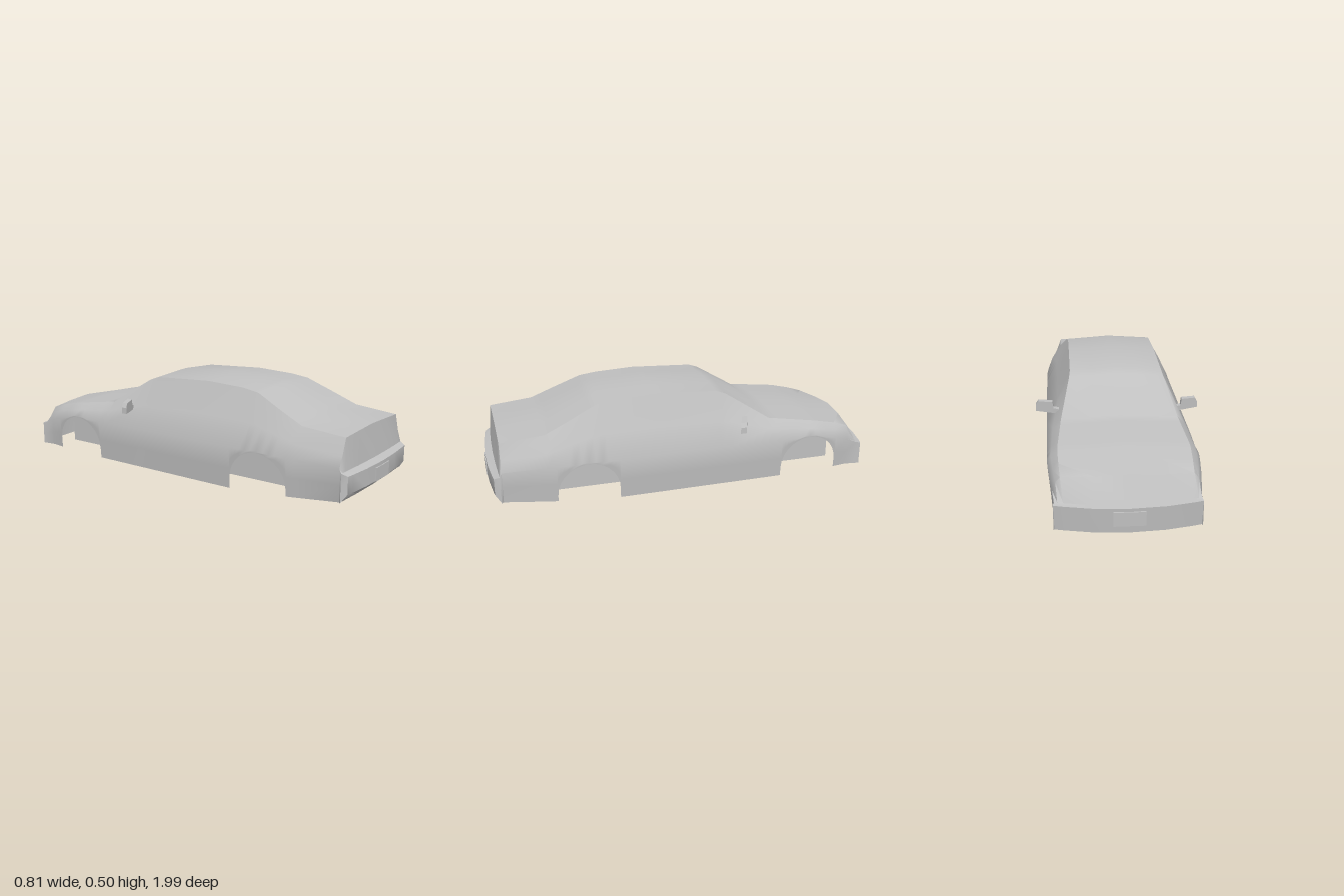
import * as THREE from 'three';
import { toCreasedNormals } from 'three/addons/utils/BufferGeometryUtils.js';

// Body stations: z, belt x, belt y, shoulder x, y, top edge x, y, centre height
const STATIONS = [
  [0.935, 0.325, 0.20, 0.300, 0.25, 0.270, 0.328, 0.338],
  [0.72, 0.348, 0.21, 0.325, 0.27, 0.275, 0.348, 0.362],
  [0.60, 0.357, 0.21, 0.315, 0.30, 0.260, 0.400, 0.415],
  [0.46, 0.357, 0.21, 0.300, 0.33, 0.235, 0.462, 0.478],
  [0.37, 0.356, 0.21, 0.298, 0.33, 0.230, 0.475, 0.488],
  [0.17, 0.355, 0.21, 0.295, 0.33, 0.230, 0.484, 0.500],
  [-0.15, 0.352, 0.21, 0.295, 0.325, 0.230, 0.468, 0.482],
  [-0.20, 0.352, 0.21, 0.295, 0.32, 0.235, 0.450, 0.465],
  [-0.42, 0.350, 0.21, 0.320, 0.27, 0.280, 0.312, 0.325],
  [-0.68, 0.347, 0.20, 0.330, 0.24, 0.300, 0.275, 0.292],
  [-0.90, 0.325, 0.16, 0.310, 0.20, 0.290, 0.225, 0.245],
];
const ARCHES = [{ z: 0.5275, r: 0.1525 }, { z: -0.63, r: 0.155 }];
const ARCH_BASE = 0.055;

function stationAt(z) {
  let i = 0;
  while (i < STATIONS.length - 2 && z < STATIONS[i + 1][0]) i++;
  const a = STATIONS[i], b = STATIONS[i + 1];
  const t = (a[0] - z) / (a[0] - b[0]);
  return a.map((v, k) => v + (b[k] - v) * t);
}

// Lower edge of the body away from the arches
function sillHeight(z) {
  if (z > 0.679) return 0.025 + (z - 0.68) * 0.075;
  return z < -0.784 ? 0.01 : 0.005;
}

// Half section from the lower edge up to the centre line
function bodySection(z, yb) {
  const [, bx, belt, sx, sy, ex, ey, top] = stationAt(z);
  const by = Math.max(belt, yb + 0.008);
  const xAt = (y) => bx - 0.014 * Math.max(0, 1 - y / by);
  const ym = (yb + by) / 2;
  const bow = z < -0.85 ? 0.04 : 0;
  return [[xAt(yb), yb], [xAt(ym), ym], [bx, by], [sx, sy], [ex, ey],
    [ex / 2, (ey + top) / 2], [0, top]].map(([x, y]) => [x, y, z + bow * (x / 0.32) ** 2]);
}

// Half section with a level top, for the bumpers
function bumperSection(z, w, yb, yt, bow) {
  return [[w, yb], [w, (yb + yt) / 2], [w, yt], [w - 0.015, yt], [w - 0.04, yt], [w / 2, yt], [0, yt]]
    .map(([x, y]) => [x, y, z + bow * (x / 0.32) ** 2]);
}

function buildBody() {
  const cuts = STATIONS.map((s) => s[0])
    .filter((z) => !ARCHES.some((a) => Math.abs(z - a.z) <= a.r + 0.002))
    .map((z) => [z, sillHeight(z)]);
  for (const a of ARCHES) {
    for (const s of [-1, 1]) {
      const z = a.z + s * (a.r + 0.0005);
      cuts.push([z, sillHeight(z)]);
    }
    for (let i = 0; i <= 14; i++) {
      const t = (Math.PI * i) / 14;
      cuts.push([a.z + a.r * Math.cos(t), ARCH_BASE + 0.153 * Math.sin(t)]);
    }
  }
  cuts.sort((p, q) => q[0] - p[0]);

  const halves = [
    bumperSection(0.95, 0.32, 0.045, 0.045, -0.01),
    bumperSection(0.993, 0.312, 0.085, 0.085, -0.022),
    bumperSection(0.993, 0.312, 0.085, 0.168, -0.022),
    bumperSection(0.955, 0.325, 0.045, 0.18, -0.01),
    ...cuts.map(([z, yb]) => bodySection(z, yb)),
    bumperSection(-0.965, 0.318, 0.01, 0.132, 0.05),
    bumperSection(-0.99, 0.322, 0.01, 0.128, 0.05),
    bumperSection(-0.98, 0.318, 0.01, 0.01, 0.05),
  ];
  // Mirror every half section into a full ring and skin the rings
  const rings = halves.map((h) => [...h, ...h.slice(0, -1).reverse().map(([x, y, z]) => [-x, y, z])]
    .map((p) => new THREE.Vector3(...p)));
  const pos = [];
  const tri = (a, b, c) => {
    const n = b.clone().sub(a).cross(c.clone().sub(a));
    if (n.length() > 1e-9) for (const p of [a, b, c]) pos.push(p.x, p.y, p.z);
  };
  for (let i = 0; i < rings.length - 1; i++) {
    const p = rings[i], q = rings[i + 1];
    for (let j = 0; j < p.length - 1; j++) {
      tri(p[j], q[j], q[j + 1]);
      tri(p[j], q[j + 1], p[j + 1]);
    }
  }
  const g = new THREE.BufferGeometry();
  g.setAttribute('position', new THREE.Float32BufferAttribute(pos, 3));
  return toCreasedNormals(g, 0.75);
}

// Swept-back door mirror with a short arm, on the +x side
function buildMirror() {
  const shape = new THREE.Shape([[0.288, 0.318], [0.288, 0.3], [0.315, 0.295], [0.404, 0.295],
    [0.403, 0.325], [0.39, 0.346], [0.32, 0.352], [0.315, 0.32]].map((p) => new THREE.Vector2(...p)));
  const g = new THREE.ExtrudeGeometry(shape, { depth: 0.03, bevelEnabled: false });
  const p = g.attributes.position;
  for (let i = 0; i < p.count; i++) {
    p.setZ(i, p.getZ(i) - 0.275 + (p.getX(i) - 0.35) * 0.42);
  }
  g.computeVertexNormals();
  return g;
}

export function createModel() {
  const car = new THREE.Group();
  car.name = 'carBody';
  const grey = new THREE.MeshStandardMaterial({ color: 0xc0c0c0, side: THREE.DoubleSide });
  grey.name = 'bodyGrey';
  const add = (name, geo, x = 0, y = 0, z = 0) => {
    const m = new THREE.Mesh(geo, grey);
    m.name = name;
    m.position.set(x, y, z);
    car.add(m);
    return m;
  };

  add('bodyShell', buildBody());

  // Inner walls seen through the wheel arches
  const wall = new THREE.PlaneGeometry(1.48, 0.2).rotateY(Math.PI / 2);
  add('leftInnerWall', wall, 0.225, 0.13, -0.05);
  add('rightInnerWall', wall, -0.225, 0.13, -0.05);

  // Door mirrors
  const mirror = buildMirror();
  add('leftMirror', mirror);
  add('rightMirror', mirror).scale.x = -1;

  // Blank plates on both bumpers
  const plate = new THREE.BoxGeometry(0.14, 0.065, 0.008);
  add('frontPlate', plate, 0, 0.118, 0.993);
  add('backPlate', plate, 0, 0.08, -0.989);
  return car;
}
